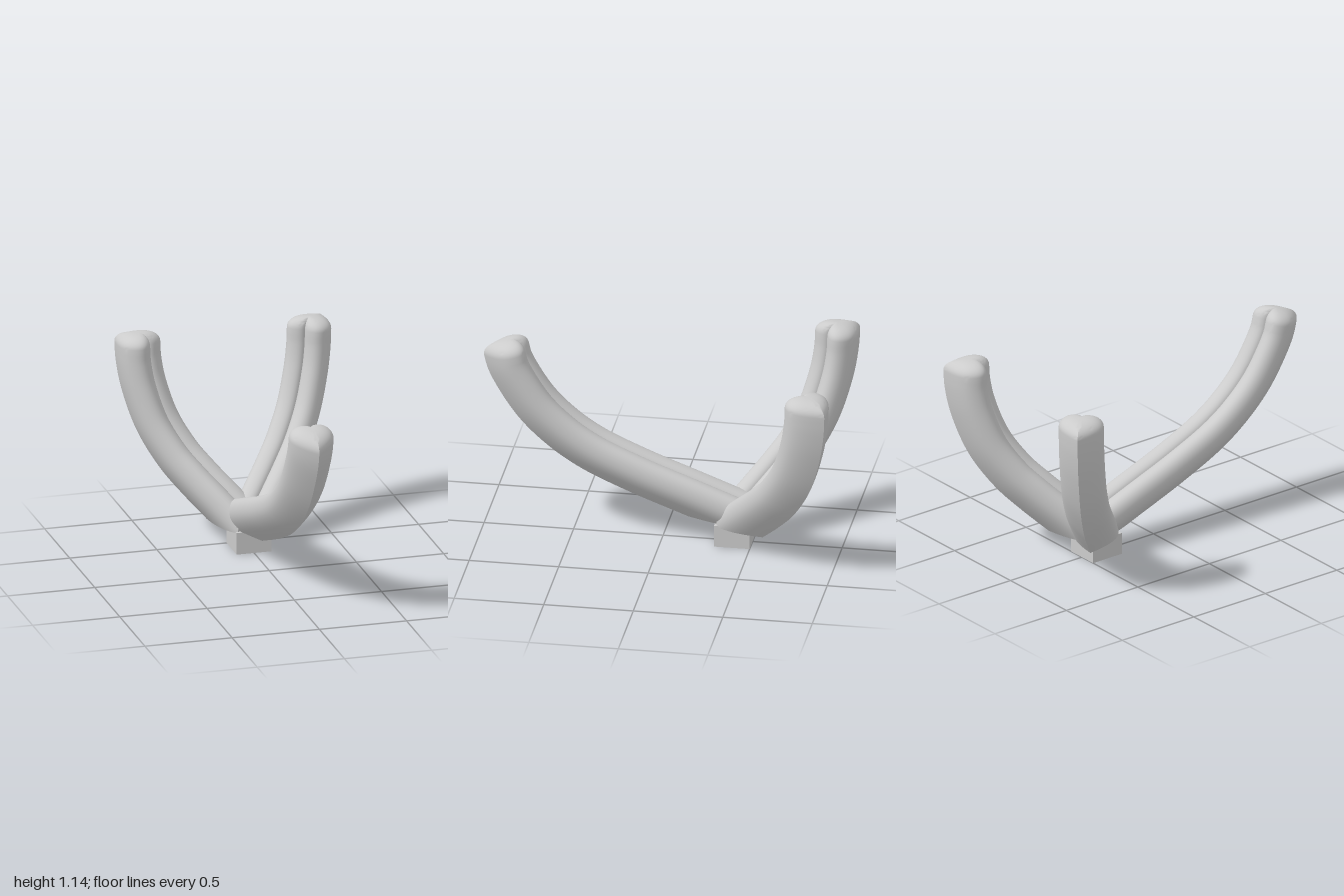
import * as THREE from 'three';
import { toCreasedNormals } from 'three/addons/utils/BufferGeometryUtils.js';

const material = new THREE.MeshStandardMaterial({ color: 0xcccccc });
const V2 = (x, y) => new THREE.Vector2(x, y);

// Heart cross-section: point at the origin, lobes at v = 0.25, counter-clockwise
function heartOutline() {
  const half = [
    [V2(0, 0), V2(0.045, 0.035), V2(0.125, 0.1), V2(0.125, 0.165), 10],
    [V2(0.125, 0.165), V2(0.125, 0.215), V2(0.1, 0.247), V2(0.062, 0.247), 8],
    [V2(0.062, 0.247), V2(0.03, 0.247), V2(0.006, 0.235), V2(0, 0.212), 6],
  ].flatMap(([a, b, c, d, n]) => new THREE.CubicBezierCurve(a, b, c, d).getPoints(n).slice(0, -1));
  const mirrored = half.slice(1).reverse().map((p) => V2(-p.x, p.y));
  return [...half, V2(0, 0.212), ...mirrored];
}

// Arm sweeping along +z and up; path is the [z, y] line of the heart's point.
// The foot is cut by the plane y = path start and the plane z = endZ.
function armGeometry(path, endZ, dome) {
  const outline = heartOutline();
  const n = outline.length;
  const curve = new THREE.CatmullRomCurve3(path.map(([z, y]) => new THREE.Vector3(0, y, z)), false, 'centripetal');
  const baseY = path[0][1];
  const verts = [];
  const index = [];
  const place = (p, t, u, v, lift) =>
    new THREE.Vector3(u, p.y + v * t.z + lift * t.y, p.z - v * t.y + lift * t.z);

  // Foot ring, slid back along the arm to the cutting planes
  const p0 = curve.getPointAt(0);
  const t0 = curve.getTangentAt(0);
  for (const { x, y } of outline) {
    const q = place(p0, t0, x, y, 0);
    q.addScaledVector(t0, Math.max((baseY - q.y) / t0.y, (endZ - q.z) / t0.z));
    verts.push(q);
  }
  // Rings along the arm
  const steps = 40;
  for (let i = 0; i <= steps; i++) {
    const p = curve.getPointAt(i / steps);
    const t = curve.getTangentAt(i / steps);
    for (const { x, y } of outline) verts.push(place(p, t, x, y, 0));
  }
  // Domed end: shrinking hearts
  const p1 = curve.getPointAt(1);
  const t1 = curve.getTangentAt(1);
  const capSteps = 12;
  const midV = 0.15;
  for (let i = 1; i <= capSteps; i++) {
    const s = Math.cos((i / capSteps) * Math.PI / 2);
    const lift = dome * Math.sqrt(1 - Math.pow(s, 2.5));
    for (const { x, y } of outline) verts.push(place(p1, t1, x * s, midV + (y - midV) * s, lift));
  }
  const rings = verts.length / n;
  for (let i = 0; i < rings - 1; i++) {
    for (let j = 0; j < n; j++) {
      const k = (j + 1) % n;
      const a = i * n + j, b = i * n + k;
      index.push(a, b, b + n, a, b + n, a + n);
    }
  }
  // Close the foot
  const foot = verts.push(new THREE.Vector3(0, baseY, endZ)) - 1;
  for (let j = 0; j < n; j++) index.push(foot, (j + 1) % n, j);

  const geometry = new THREE.BufferGeometry().setFromPoints(verts);
  geometry.setIndex(index);
  return toCreasedNormals(geometry, 0.7);
}

export function createModel() {
  const model = new THREE.Group();
  model.name = 'threeArmStand';
  const hubZ = -0.4;

  const add = (name, geometry, y, turn) => {
    const mesh = new THREE.Mesh(geometry, material);
    mesh.name = name;
    mesh.position.set(0, y, hubZ);
    mesh.rotation.y = turn;
    model.add(mesh);
  };

  // Square foot under the hub
  add('base', new THREE.BoxGeometry(0.2, 0.126, 0.2), 0.063, 0);

  // Long arm to the front
  add('frontArm', armGeometry([
    [0.26, 0.126], [0.595, 0.254], [0.863, 0.377], [1.045, 0.5],
    [1.205, 0.655], [1.335, 0.85], [1.382, 0.95], [1.4, 1.02],
  ], -0.09, 0.07), 0, 0);

  // Two shorter, steeper arms to the back
  const backArm = armGeometry([
    [0.265, 0.118], [0.42, 0.24], [0.559, 0.365], [0.707, 0.56],
    [0.806, 0.795], [0.842, 0.96], [0.849, 1.06],
  ], 0, 0.065);
  add('leftBackArm', backArm, 0, Math.PI * 0.75);
  add('rightBackArm', backArm, 0, -Math.PI * 0.75);
  return model;
}
